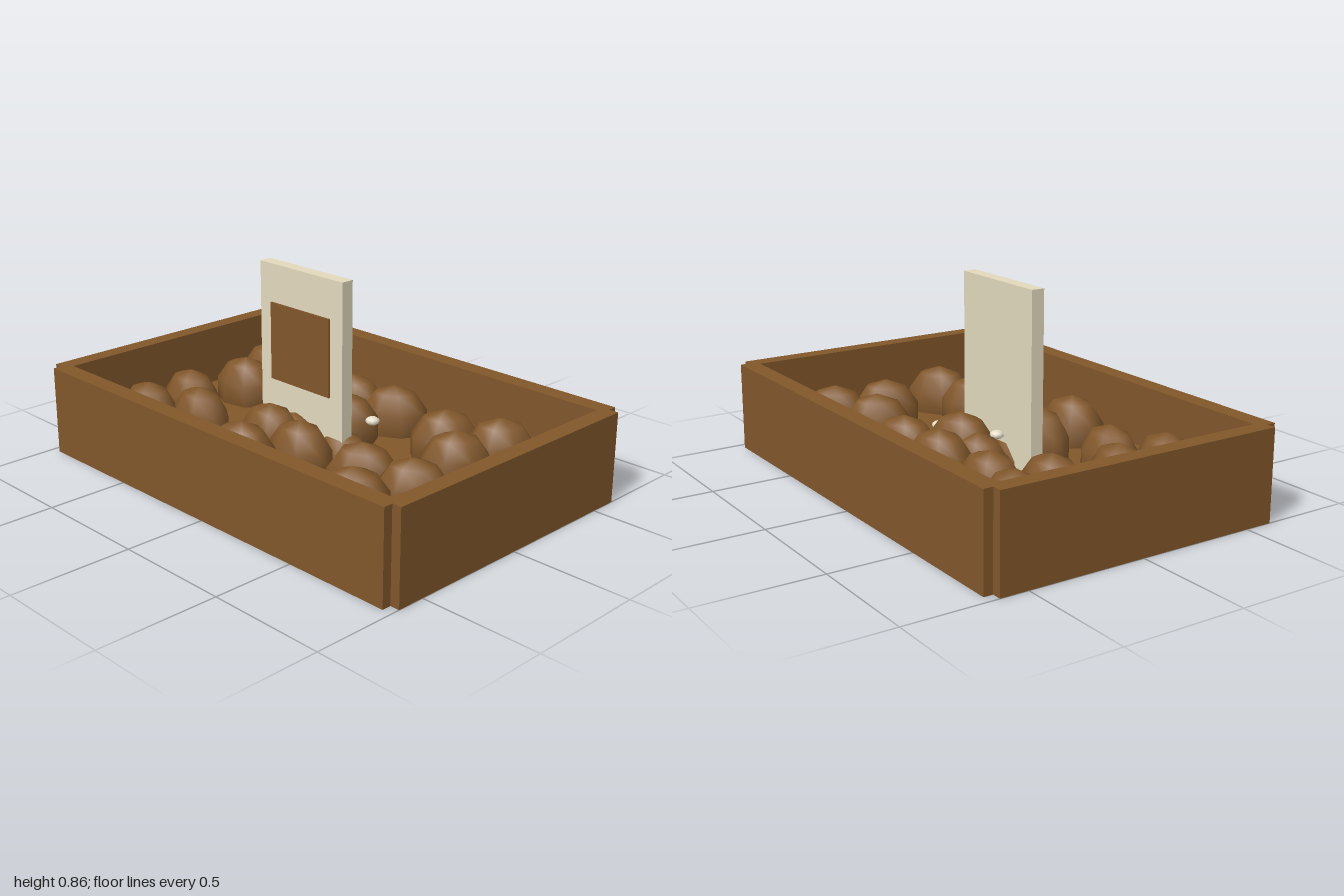
import * as THREE from 'three';

export function createModel() {
  const model = new THREE.Group();
  const wood = new THREE.MeshStandardMaterial({ color: 0x81572b });
  wood.name = 'brown';
  const cream = new THREE.MeshStandardMaterial({ color: 0xe2d9bd });
  cream.name = 'cream';
  const white = new THREE.MeshStandardMaterial({ color: 0xe8dfcb });
  white.name = 'offWhite';

  const add = (name, geometry, material, x, y, z, parent = model) => {
    const mesh = new THREE.Mesh(geometry, material);
    mesh.name = name;
    mesh.position.set(x, y, z);
    parent.add(mesh);
    return mesh;
  };

  // Open crate: floor and four overlapping walls
  const floorTop = 0.12, height = 0.38;
  add('floor', new THREE.BoxGeometry(1.88, floorTop, 1.18), wood, 0, floorTop / 2, 0);
  for (const s of [-1, 1]) {
    add(s > 0 ? 'frontWall' : 'backWall',
      new THREE.BoxGeometry(1.92, height, 0.077), wood, 0, height / 2, s * 0.6175);
    add(s > 0 ? 'leftWall' : 'rightWall',
      new THREE.BoxGeometry(0.073, height, 1.235), wood, s * 0.9635, height / 2, 0);
  }

  // Upright sign with a brown panel on its front
  add('signBoard', new THREE.BoxGeometry(0.475, 0.857, 0.056), cream, -0.09, 0.4285, 0.0125);
  add('signPanel', new THREE.BoxGeometry(0.34, 0.33, 0.009), wood, -0.09, 0.53, 0.0445);

  // Faceted mounds on the floor: x, z, turn, depth sunk into the floor
  const mounds = [
    [-0.71, -0.355, 0.1], [-0.485, -0.31, 0.25], [-0.64, -0.14, 0.2],
    [-0.155, -0.325, 0.4], [0.075, -0.345, 0.5], [-0.12, -0.125, 0.3, 0.06],
    [-0.01, -0.135, 0.5], [0.1, -0.01, 0, 0.1], [-0.12, 0.05, 0, 0.07],
    [-0.13, 0.17, 0.1], [0.09, 0.215, 0.1], [-0.065, 0.385, 0.3],
    [0.41, -0.285, 0.85], [0.625, -0.37, 0.8], [0.59, -0.14, 0.85],
    [-0.68, 0.14, 0], [-0.48, 0.255, 0], [-0.68, 0.37, 0],
    [0.42, 0.2, 0.5], [0.655, 0.175, 0.6], [0.555, 0.39, 0.6],
  ];
  const lump = new THREE.SphereGeometry(1, 8, 3, Math.PI / 8, Math.PI * 2, 0, Math.PI * 0.6);
  const pile = new THREE.Group();
  pile.name = 'mounds';
  model.add(pile);
  for (const [x, z, turn, sunk = 0] of mounds) {
    const mound = add('mound', lump, wood, x, 0.165 - sunk, z, pile);
    mound.scale.set(0.152, 0.155, 0.107);
    mound.rotation.y = turn;
  }

  // Small pale pebbles among the mounds: x, y, z
  const pebble = new THREE.SphereGeometry(0.03, 8, 6);
  for (const [x, y, z] of [[0.135, 0.23, -0.15], [0.023, 0.23, 0.125], [-0.12, 0.235, -0.035]]) {
    add('pebble', pebble, white, x, y, z).scale.y = 0.6;
  }
  return model;
}
